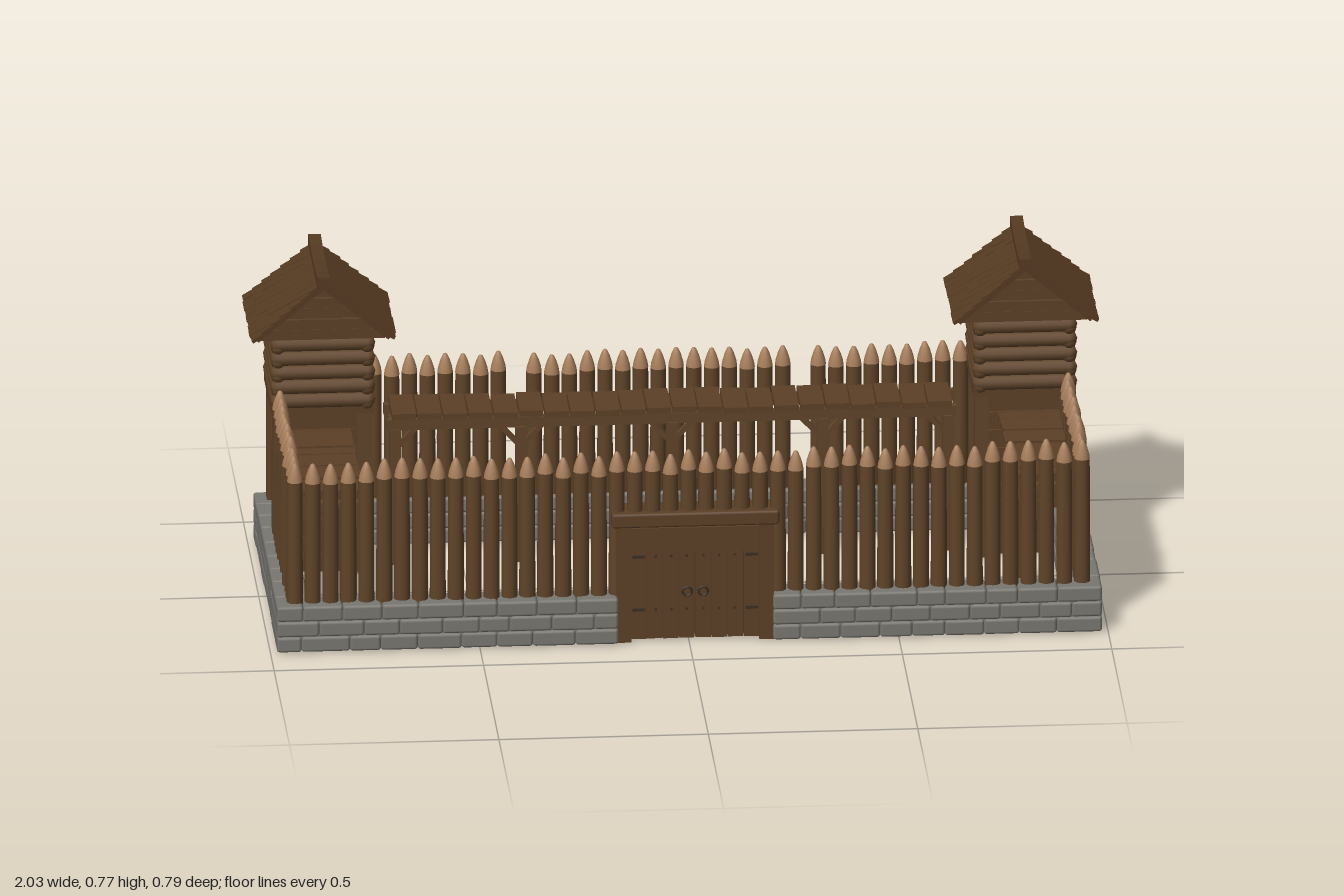
import * as THREE from 'three';
import { RoundedBoxGeometry } from 'three/addons/geometries/RoundedBoxGeometry.js';

const mat = (name, color) => new THREE.MeshStandardMaterial({ name, color });

export function createModel() {
  const wood = mat('log brown', 0x604429);
  const plankWood = mat('plank brown', 0x5c4027);
  const roofWood = mat('roof brown', 0x553a22);
  const cutWood = mat('cut wood tan', 0xa67d5a);
  const stone = mat('stone grey', 0x797771);
  const iron = mat('dark iron', 0x3a2e24);

  let seed = 7;
  const rand = () => (seed = (seed * 16807) % 2147483647) / 2147483647;
  const jitter = (a) => (rand() - 0.5) * 2 * a;

  const root = new THREE.Group();
  root.name = 'fort';
  const group = (name, parent = root, x = 0, y = 0, z = 0) => {
    const g = new THREE.Group();
    g.name = name;
    g.position.set(x, y, z);
    parent.add(g);
    return g;
  };
  const add = (parent, name, geo, m, x, y, z) => {
    const mesh = new THREE.Mesh(geo, m);
    mesh.name = name;
    mesh.position.set(x, y, z);
    parent.add(mesh);
    return mesh;
  };
  const box = (parent, name, m, w, h, d, x, y, z) =>
    add(parent, name, new THREE.BoxGeometry(w, h, d), m, x, y, z);

  // Stone footing: three courses of rounded blocks around a solid core
  const footing = group('stoneFooting');
  function stoneRun(a, b, fixed, alongX) {
    const mid = (a + b) / 2, len = b - a - 0.02;
    if (alongX) box(footing, 'footingCore', stone, len, 0.1, 0.066, mid, 0.058, fixed);
    else box(footing, 'footingCore', stone, 0.066, 0.1, len, fixed, 0.058, mid);
    for (let row = 0; row < 3; row++) {
      const n = Math.round((b - a) / 0.09);
      const cuts = [a];
      for (let i = 1; i < n; i++) cuts.push(a + ((b - a) * (i + (row % 2 ? 0.25 : -0.2) + jitter(0.15))) / n);
      cuts.push(b);
      for (let i = 0; i < n; i++) {
        const l = cuts[i + 1] - cuts[i], c = (cuts[i] + cuts[i + 1]) / 2, t = 0.079 + jitter(0.003);
        const geo = new RoundedBoxGeometry(alongX ? l : t, 0.0385, alongX ? t : l, 1, 0.007);
        add(footing, 'stoneBlock', geo, stone, alongX ? c : fixed, 0.023 + row * 0.0385, alongX ? fixed : c);
      }
    }
  }
  stoneRun(-0.985, -0.17, 0.355, true);
  stoneRun(0.2, 0.985, 0.355, true);
  stoneRun(-0.985, 0.985, -0.35, true);
  for (const s of [-1, 1]) stoneRun(-0.312, 0.317, s * 0.945, false);

  // Palisade of pointed logs
  const palisade = group('palisade');
  const logGeo = new THREE.CylinderGeometry(0.0185, 0.0195, 1, 12);
  const tipGeo = new THREE.LatheGeometry(
    [[0.0188, 0], [0.0165, 0.014], [0.011, 0.032], [0.005, 0.045], [0, 0.048]].map(([x, y]) => new THREE.Vector2(x, y)), 12);
  function stake(x, z, bottom = 0.1) {
    const top = 0.427 + jitter(0.007);
    const log = add(palisade, 'stakeLog', logGeo, wood, x, (top + bottom) / 2, z);
    log.scale.y = top - bottom;
    log.rotation.y = rand() * 6;
    add(palisade, 'stakeTip', tipGeo, cutWood, x, top, z);
  }
  const frontCount = 45;
  for (let i = 0; i < frontCount; i++) {
    const x = -0.94 + (1.88 * i) / (frontCount - 1);
    stake(x, 0.35 + jitter(0.003), Math.abs(x - 0.015) < 0.17 ? 0.3 : 0.1);
  }
  for (let i = 0; i < 34; i++) {
    const x = -0.7 + (1.4 * i) / 33;
    if (i !== 8 && i !== 24) stake(x, -0.342 + jitter(0.003));
  }
  for (const s of [-1, 1]) {
    for (let i = 0; i < 11; i++) stake(s * (0.94 + jitter(0.003)), 0.321 - i * 0.0432);
    stake(s * 0.94, -0.143);
  }

  // Gate with frame, lintel, plank doors and iron fittings
  const gate = group('gate', root, 0.015, 0, 0.345);
  for (const s of [-1, 1]) {
    box(gate, 'gatePost', plankWood, 0.035, 0.295, 0.07, s * 0.17, 0.15, 0);
    for (let i = 0; i < 4; i++)
      box(gate, 'doorPlank', plankWood, 0.037, 0.275, 0.036 + (i % 2) * 0.004, s * (0.0195 + i * 0.0385), 0.143, 0);
    for (const y of [0.08, 0.215]) {
      box(gate, 'doorBattenBack', plankWood, 0.148, 0.022, 0.01, s * 0.077, y, -0.024);
      box(gate, 'hinge', iron, 0.03, 0.007, 0.004, s * 0.135, y, 0.022);
      for (let i = 0; i < 4; i++) {
        const nail = add(gate, 'nail', new THREE.CylinderGeometry(0.003, 0.003, 0.006, 6), iron, s * (0.02 + i * 0.037), y, 0.021);
        nail.rotation.x = Math.PI / 2;
      }
    }
    add(gate, 'ringHandle', new THREE.TorusGeometry(0.011, 0.003, 6, 14), iron, s * 0.019, 0.125, 0.023);
  }
  box(gate, 'doorHeader', plankWood, 0.31, 0.06, 0.05, 0, 0.258, 0);
  add(gate, 'lintel', new RoundedBoxGeometry(0.4, 0.036, 0.086, 1, 0.006), plankWood, 0, 0.312, -0.003);

  // Plank walkways behind the walls
  const walk = group('walkways');
  const backPlanks = 22;
  for (let i = 0; i < backPlanks; i++) {
    const pitch = 1.34 / backPlanks;
    box(walk, 'backPlank', plankWood, pitch - 0.004, 0.015, 0.13 + jitter(0.004), -0.67 + (i + 0.5) * pitch, 0.376 + jitter(0.003), -0.247);
  }
  for (const z of [-0.2, -0.305]) box(walk, 'backBeam', wood, 1.36, 0.026, 0.018, 0, 0.354, z);
  for (const x of [-0.66, -0.36, 0, 0.36, 0.66]) {
    box(walk, 'walkwayPost', wood, 0.026, 0.34, 0.026, x, 0.17, -0.2);
    box(walk, 'walkwayJoist', wood, 0.022, 0.02, 0.13, x, 0.334, -0.25);
    for (const s of [-1, 1]) {
      if (Math.abs(x + s * 0.04) > 0.68) continue;
      const brace = box(walk, 'walkwayBrace', wood, 0.012, 0.075, 0.014, x + s * 0.025, 0.318, -0.2);
      brace.rotation.z = -s * 0.75;
    }
  }
  for (const s of [-1, 1]) {
    for (let i = 0; i < 10; i++)
      box(walk, 'sidePlank', plankWood, 0.145 + jitter(0.004), 0.015, 0.038, s * 0.846, 0.376 + jitter(0.003), 0.295 - i * 0.042);
    for (const x of [0.8, 0.908]) box(walk, 'sideBeam', wood, 0.018, 0.028, 0.43, s * x, 0.353, 0.1);
    for (const z of [0.28, 0.09]) {
      box(walk, 'sidePost', wood, 0.026, 0.34, 0.026, s * 0.8, 0.17, z);
      box(walk, 'sideJoist', wood, 0.14, 0.02, 0.022, s * 0.852, 0.334, z);
    }
  }

  // Watch towers: plank base, log cabin and shingled gable roof
  const cabinLog = (len) => new THREE.CapsuleGeometry(0.0185, len - 0.02, 2, 10).scale(1, 1, 1);
  function tower(sx) {
    const t = group('watchTower', root, sx * 0.838, 0, -0.25);
    box(t, 'towerCore', plankWood, 0.19, 0.42, 0.19, 0, 0.21, -0.003);
    for (const a of [-1, 1]) {
      for (const b of [-1, 1]) box(t, 'cornerPost', wood, 0.034, 0.415, 0.034, a * 0.101, 0.2075, b * 0.098);
      for (let i = 0; i < 9; i++) {
        const y = 0.025 + i * 0.0455, d = jitter(0.002);
        box(t, 'sidePlank', plankWood, 0.012, 0.043, 0.165, a * (0.1 + d), y, 0);
        box(t, 'endPlank', plankWood, 0.17, 0.043, 0.012, 0, y, a * (0.097 + d));
      }
    }
    box(t, 'cabinFloor', plankWood, 0.245, 0.022, 0.25, 0, 0.424, 0.004);
    box(t, 'cabinCore', wood, 0.2, 0.19, 0.21, 0, 0.52, 0.004);
    for (let i = 0; i < 5; i++)
      for (const s of [-1, 1]) {
        const y = 0.447 + i * 0.036;
        add(t, 'cabinLogAcross', cabinLog(0.235), wood, 0, y, 0.004 + s * 0.115).rotation.z = Math.PI / 2;
        add(t, 'cabinLogAlong', cabinLog(0.25), wood, s * 0.106, y - 0.008, 0.004).rotation.x = Math.PI / 2;
      }

    // Gable boards, narrowing towards the ridge
    const rise = 0.135, half = 0.16, base = 0.607;
    for (let i = 0; i < 5; i++) {
      const y0 = (rise * i) / 5, y1 = (rise * (i + 1)) / 5 - 0.002;
      const w0 = (half - 0.012) * (1 - y0 / rise), w1 = (half - 0.012) * (1 - y1 / rise);
      const shape = new THREE.Shape([[-w0, y0], [w0, y0], [w1, y1], [-w1, y1]].map(([x, y]) => new THREE.Vector2(x, y)));
      const depth = 0.264 + (i % 2) * 0.008;
      add(t, 'gableBoard', new THREE.ExtrudeGeometry(shape, { depth, bevelEnabled: false }), plankWood, 0, base, 0.004 - depth / 2);
    }

    // Two shingled slopes
    const angle = Math.atan2(rise, half), slope = Math.hypot(rise, half), rows = 7, pitch = slope / rows;
    for (const turn of [0, Math.PI]) {
      const side = group('roofSide', t, 0, 0, 0.004);
      side.rotation.y = turn;
      const plane = group('roofSlope', side, 0, base + rise, 0);
      plane.rotation.z = -angle;
      box(plane, 'roofDeck', roofWood, slope - 0.006, 0.008, 0.282, slope / 2, 0, 0);
      for (let r = 0; r < rows; r++) {
        const len = 0.284 + (0.022 * (r + 1)) / rows, n = 9, w = len / n;
        for (let i = -1; i < n; i++) {
          // Odd rows start and end with half shingles
          const a = Math.max(0, i + (r % 2) * 0.5), b = Math.min(n, i + 1 + (r % 2) * 0.5);
          if (b - a < 0.1) continue;
          const tile = box(plane, 'shingle', roofWood, pitch + 0.012, 0.008, (b - a) * w - 0.002,
            (r + 0.5) * pitch + jitter(0.002), 0.008 + jitter(0.001), -len / 2 + ((a + b) / 2) * w);
          tile.rotation.z = 0.16;
        }
      }
    }

    // Sagging ridge beam
    const ridge = new THREE.BoxGeometry(0.03, 0.028, 0.296, 1, 1, 10);
    const p = ridge.attributes.position;
    for (let i = 0; i < p.count; i++) p.setY(i, p.getY(i) - 0.009 * (1 - (p.getZ(i) / 0.148) ** 2));
    ridge.computeVertexNormals();
    add(t, 'ridgeBeam', ridge, roofWood, 0, 0.755, 0.002);
  }
  tower(-1);
  tower(1);
  return root;
}
